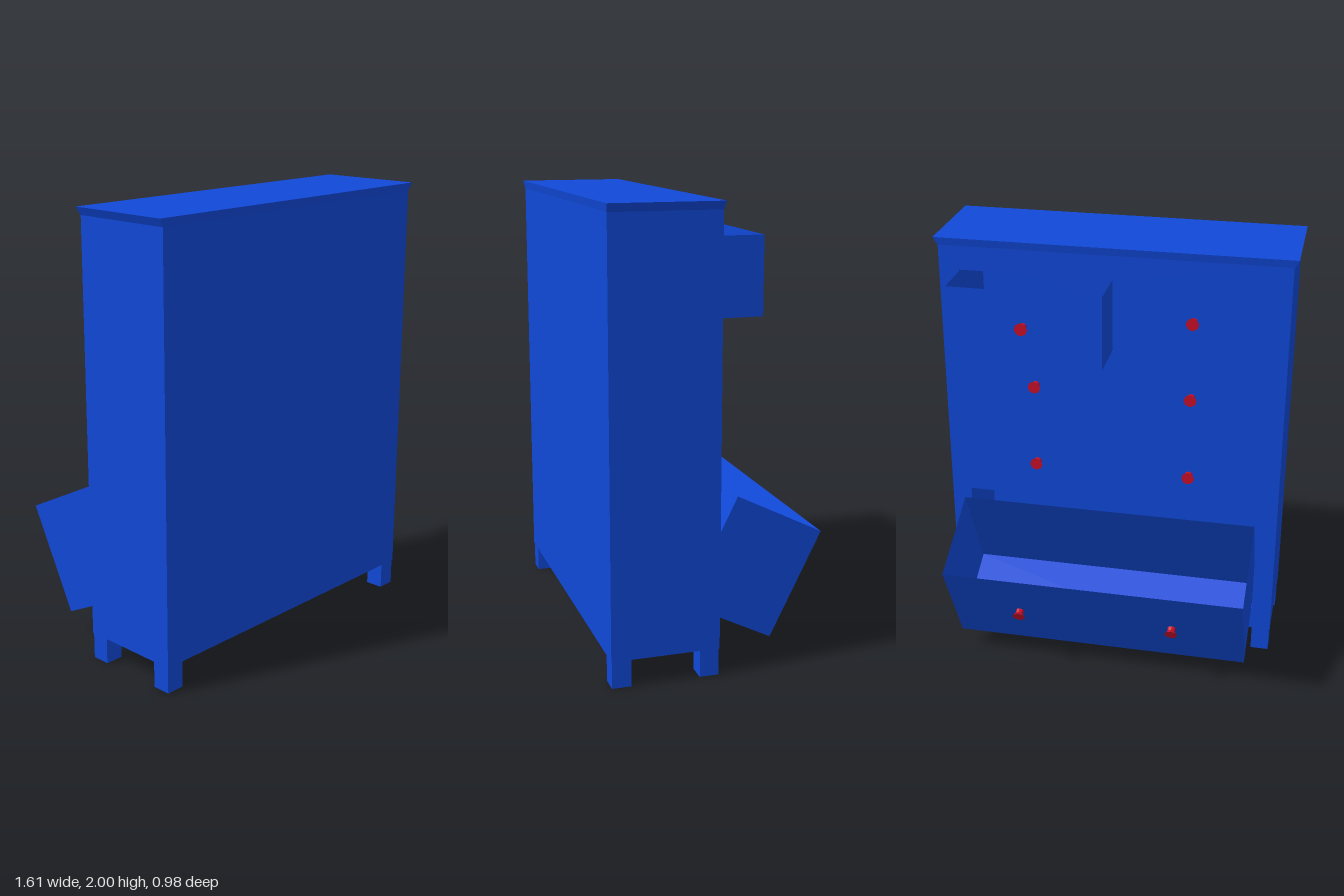
import * as THREE from 'three';

const blue = new THREE.MeshStandardMaterial({ color: 0x1048d8, flatShading: true });
const blueThin = new THREE.MeshStandardMaterial({ color: 0x1048d8, flatShading: true, side: THREE.DoubleSide });
const red = new THREE.MeshStandardMaterial({ color: 0xc8102a, flatShading: true });

function add(parent, name, geometry, material, x = 0, y = 0, z = 0) {
  const mesh = new THREE.Mesh(geometry, material);
  mesh.name = name;
  mesh.position.set(x, y, z);
  parent.add(mesh);
  return mesh;
}

function rectangle(Type, x0, y0, x1, y1) {
  return new Type().setFromPoints([
    new THREE.Vector2(x0, y0), new THREE.Vector2(x1, y0),
    new THREE.Vector2(x1, y1), new THREE.Vector2(x0, y1),
  ]);
}

// Thin-walled box without its top face
function openBox(width, height, depth) {
  const geometry = new THREE.BoxGeometry(width, height, depth);
  const index = Array.from(geometry.index.array);
  index.splice(12, 6);
  geometry.setIndex(index);
  geometry.clearGroups();
  return geometry;
}

// Flared knob pointing toward -z
function addKnob(parent, x, y, z) {
  const profile = [[0, 0], [0.019, 0], [0.017, 0.018], [0.03, 0.035], [0, 0.035]]
    .map(([r, h]) => new THREE.Vector2(r, h));
  const knob = add(parent, 'knob', new THREE.LatheGeometry(profile, 8), red, x, y, z);
  knob.rotation.x = -Math.PI / 2;
}

export function createModel() {
  const model = new THREE.Group();
  model.name = 'chestOfDrawers';

  // Case with the two open drawer bays, closed by a solid panel
  const bays = rectangle(THREE.Shape, -0.785, 0.12, 0.785, 1.97);
  bays.holes.push(rectangle(THREE.Path, -0.005, 1.515, 0.693, 1.855));
  bays.holes.push(rectangle(THREE.Path, -0.693, 0.23, 0.693, 0.745));
  add(model, 'case', new THREE.ExtrudeGeometry(bays, { depth: 0.36, bevelEnabled: false }), blue, 0, 0, 0.01);
  add(model, 'casePanel', new THREE.BoxGeometry(1.57, 1.85, 0.115), blue, 0, 1.045, 0.4275);

  // Flared top
  const top = new THREE.BoxGeometry(1.61, 0.035, 0.487);
  const p = top.attributes.position;
  for (let i = 0; i < p.count; i++) {
    if (p.getY(i) < 0) {
      p.setX(i, p.getX(i) * 0.977);
      p.setZ(i, p.getZ(i) * 0.977);
    }
  }
  top.computeVertexNormals();
  add(model, 'top', top, blue, 0, 1.9825, 0.2475);

  // Legs
  for (const x of [-0.74, 0.74]) {
    for (const z of [0.055, 0.44]) {
      add(model, 'leg', new THREE.BoxGeometry(0.084, 0.12, 0.084), blue, x, 0.06, z);
    }
  }

  // Pulled-out upper drawer
  const upper = new THREE.Group();
  upper.name = 'upperDrawer';
  upper.position.set(0.344, 1.685, 0.075);
  add(upper, 'drawerBox', openBox(0.69, 0.335, 0.55), blueThin);
  addKnob(upper, 0.006, 0.007, -0.275);
  model.add(upper);

  // Tipped-out bottom drawer
  const lower = new THREE.Group();
  lower.name = 'bottomDrawer';
  lower.position.set(0, 0.428, -0.178);
  lower.rotation.x = -0.464;
  add(lower, 'drawerBox', openBox(1.38, 0.514, 0.431), blueThin);
  for (const x of [-0.36, 0.36]) addKnob(lower, x, 0, -0.2155);
  model.add(lower);

  // Knobs of the closed drawers
  for (const [x, y] of [[-0.365, 1.69], [-0.365, 1.325], [-0.365, 0.93], [0.355, 1.325], [0.355, 0.93]]) {
    addKnob(model, x, y, 0.01);
  }
  return model;
}
